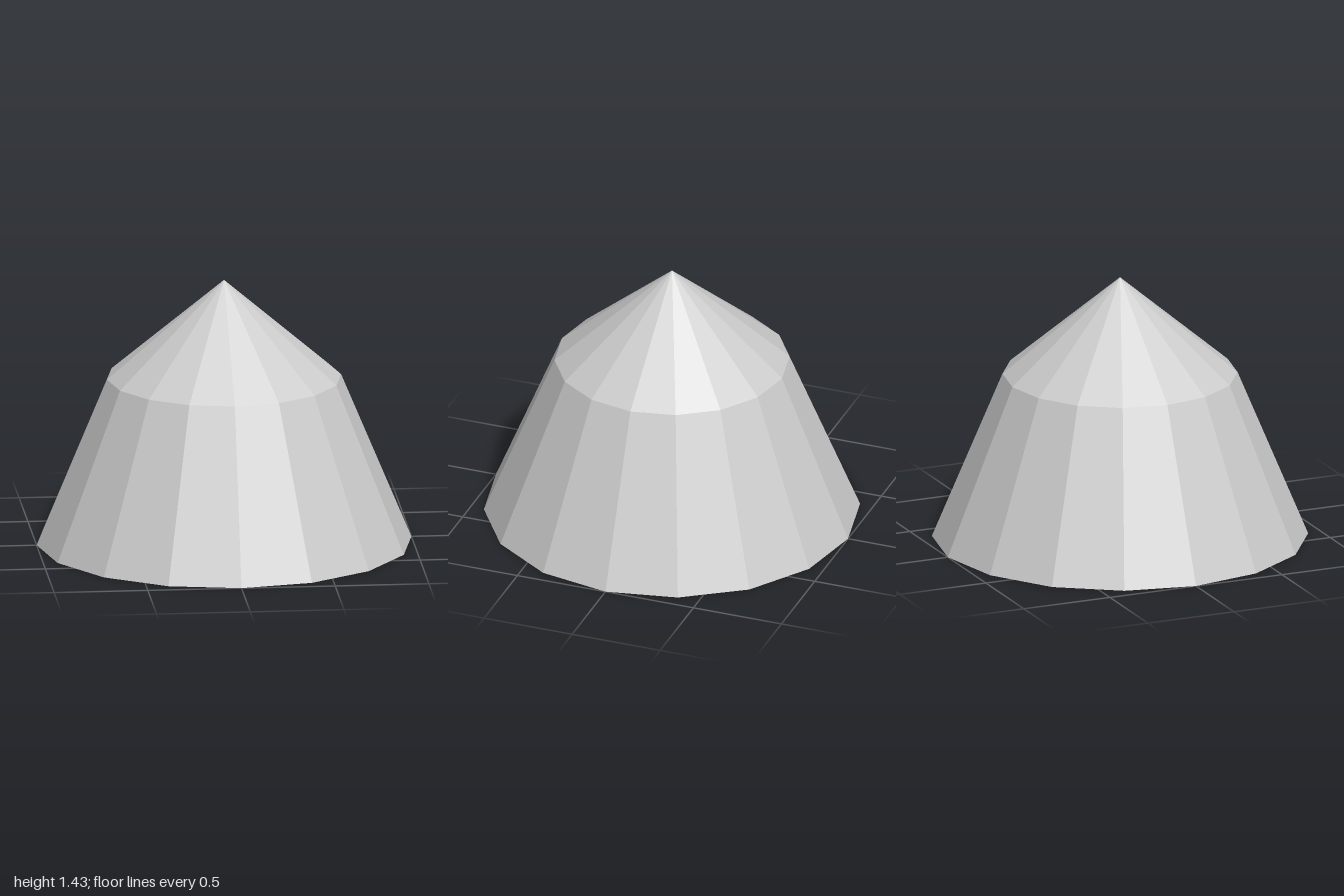
import * as THREE from 'three';

const SIDES = 16;
const SHOULDER = [0.625, 0.9];

export function createModel() {
  const group = new THREE.Group();
  group.name = 'facetedCone';

  const grey = new THREE.MeshStandardMaterial({ color: 0xcccccc });
  grey.name = 'light grey';
  grey.flatShading = true;

  // Revolves a profile of [radius, height] pairs into a faceted ring
  function addRevolved(name, profile) {
    const points = profile.map(([r, y]) => new THREE.Vector2(r, y));
    const mesh = new THREE.Mesh(new THREE.LatheGeometry(points, SIDES), grey);
    mesh.name = name;
    group.add(mesh);
  }

  // Sloping skirt
  addRevolved('skirt', [[1, 0], SHOULDER]);

  // Pointed cap
  addRevolved('cap', [SHOULDER, [0, 1.433]]);

  // Shallow hollow with small steps, from its centre out to the rim
  addRevolved('underside', [
    [0, 0.18],
    [0.37, 0.1], [0.37, 0.086],
    [0.45, 0.074], [0.62, 0.052], [0.62, 0.04],
    [0.71, 0.03], [0.975, 0.012], [0.975, 0],
    [1, 0],
  ]);

  return group;
}
